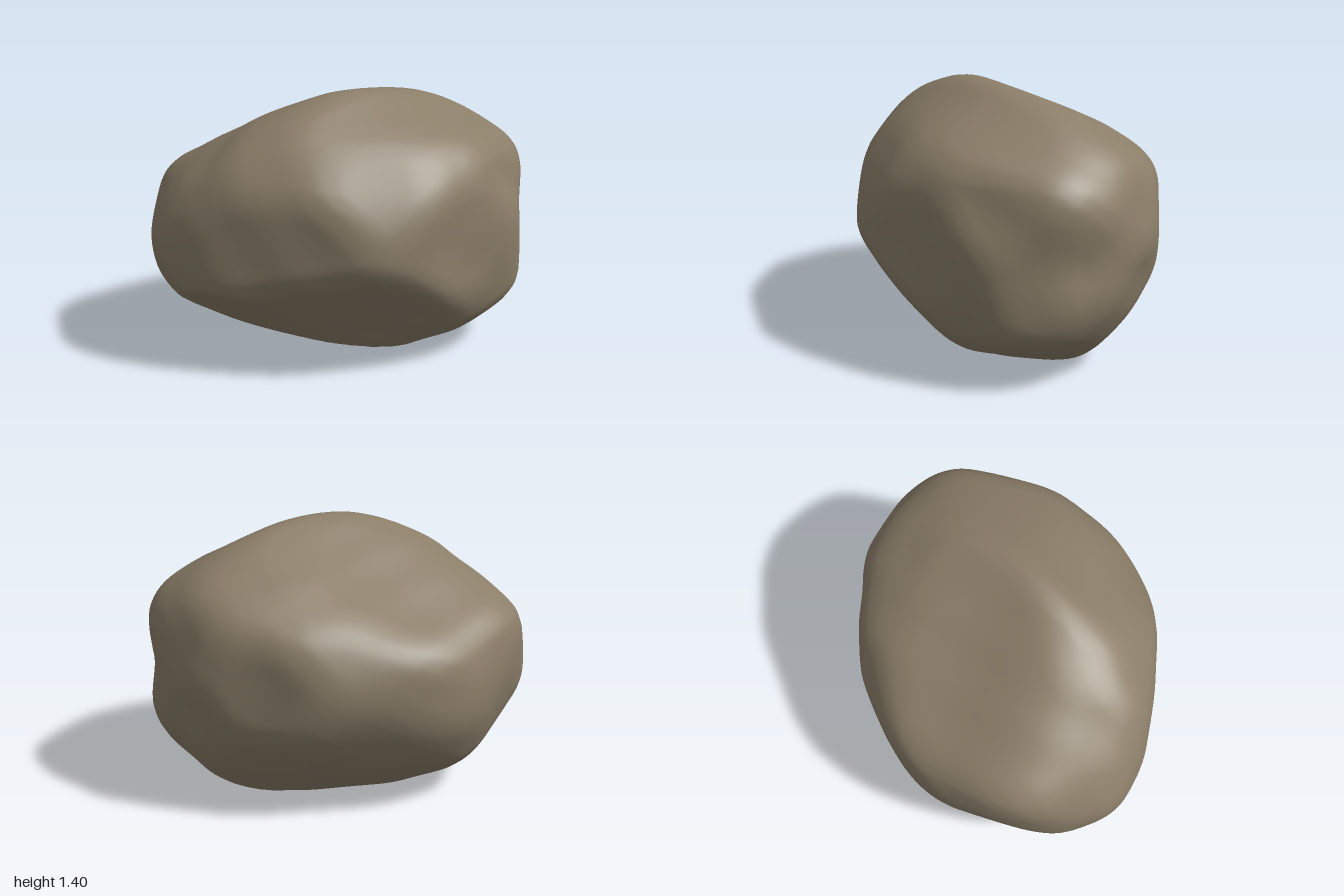
import * as THREE from 'three';
import { mergeVertices } from 'three/addons/utils/BufferGeometryUtils.js';

const V = (x, y, z) => new THREE.Vector3(x, y, z);
const CENTER = V(0, 0.71, 0);
const SIZE = V(1, 0.71, 0.8);

// Returns a function giving the distance, along a 3D vector, to an outline swept across the plane of axes a and b
function outline(points, a, b, shift = 0) {
  const knots = points.map(([p, q]) => V(p, q - shift, 0));
  const table = new THREE.CatmullRomCurve3(knots, true).getPoints(240).slice(1)
    .map((v) => [Math.atan2(v.y, v.x), v.length()]).sort((m, n) => m[0] - n[0]);
  const last = table[table.length - 1];
  const loop = [[last[0] - 2 * Math.PI, last[1]], ...table, [table[0][0] + 2 * Math.PI, table[0][1]]];
  const bins = Array.from({ length: 721 }, (_, k) => {
    const t = (k / 360 - 1) * Math.PI;
    const i = Math.max(1, loop.findIndex((e) => e[0] >= t));
    const [t0, r0] = loop[i - 1], [t1, r1] = loop[i];
    return r0 + (r1 - r0) * (t - t0) / (t1 - t0 || 1);
  });
  return (v) => {
    const p = v.dot(a), q = v.dot(b);
    const f = (Math.atan2(q, p) / Math.PI + 1) * 360, k = Math.min(719, Math.floor(f));
    return (bins[k] + (bins[k + 1] - bins[k]) * (f - k)) / (Math.hypot(p, q) + 1e-6);
  };
}

// Outlines in the three main planes
const sideXY = outline([[-1, 0.65], [-0.97, 0.78], [-0.78, 1.08], [-0.4, 1.28], [-0.15, 1.37], [0.2, 1.43], [0.4, 1.35],
  [0.65, 1.29], [0.88, 1.16], [0.98, 1], [1, 0.87], [0.97, 0.68], [0.99, 0.43], [0.9, 0.22], [0.78, 0.08], [0.63, -0.01],
  [0.1, -0.04], [-0.48, -0.01], [-0.7, 0.13], [-0.9, 0.32], [-0.98, 0.5]], V(1, 0, 0), V(0, 1, 0), CENTER.y);
const sideZY = outline([[0.13, 1.43], [0.4, 1.31], [0.65, 1.04], [0.8, 0.72], [0.77, 0.45], [0.65, 0.22], [0.5, 0.1],
  [0.35, -0.01], [0, -0.04], [-0.38, -0.01], [-0.47, 0.05], [-0.6, 0.22], [-0.72, 0.43], [-0.8, 0.67], [-0.67, 1],
  [-0.4, 1.2], [0, 1.38]], V(0, 0, 1), V(0, 1, 0), CENTER.y);
const sideXZ = outline([[-0.1, -0.8], [0.2, -0.79], [0.5, -0.65], [0.85, -0.5], [0.94, -0.3], [1, -0.05], [0.94, 0.15],
  [0.85, 0.38], [0.5, 0.6], [0.2, 0.78], [0, 0.8], [-0.3, 0.68], [-0.6, 0.53], [-0.85, 0.37], [-1, 0.15], [-1, 0],
  [-0.95, -0.2], [-0.75, -0.5], [-0.5, -0.7]], V(1, 0, 0), V(0, 0, 1));

// Outlines in three slanted planes, trimming the corners between the main ones
const D = Math.SQRT1_2, TILT = 27 * Math.PI / 180, S = D * Math.sin(TILT), C = Math.cos(TILT);
const slants = [
  outline([[-0.37, 0.6], [-0.73, 0.435], [-0.83, 0.285], [-0.9, 0.135], [-0.9, -0.015], [-0.87, -0.125], [-0.78, -0.215],
    [-0.52, -0.395], [-0.2, -0.625], [0.01, -0.785], [0.17, -0.8], [0.39, -0.775], [0.64, -0.705], [0.81, -0.495],
    [0.88, -0.275], [0.94, -0.065], [0.91, 0.175], [0.84, 0.305], [0.75, 0.385], [0.66, 0.43], [0.14, 0.52]],
  V(D, 0, -D), V(-S, C, -S)),
  outline([[-0.13, 0.71], [-0.57, 0.655], [-0.73, 0.575], [-0.83, 0.455], [-0.9, 0.225], [-0.94, 0.055], [-0.9, -0.105],
    [-0.83, -0.255], [-0.67, -0.425], [-0.41, -0.615], [-0.19, -0.715], [-0.03, -0.785], [0.1, -0.805], [0.29, -0.755],
    [0.5, -0.655], [0.76, -0.525], [0.85, -0.335], [0.9, -0.115], [0.85, 0.075], [0.74, 0.295], [0.56, 0.485],
    [0.32, 0.615], [0.1, 0.685]], V(-D, 0, D), V(S, C, S)),
  outline([[-0.25, 0.745], [-0.45, 0.725], [-0.61, 0.665], [-0.73, 0.535], [-0.79, 0.355], [-0.87, 0.135], [-0.85, -0.115],
    [-0.8, -0.275], [-0.69, -0.455], [-0.5, -0.6], [-0.39, -0.65], [0.43, -0.69], [0.54, -0.685], [0.66, -0.6], [0.8, -0.425],
    [0.87, -0.145], [0.87, 0.015], [0.79, 0.225], [0.67, 0.325], [0.3, 0.555], [-0.02, 0.685]],
  V(-D, 0, -D), V(S, C, -S)),
];

// Rounded body blended from the main outlines and kept inside all six
const ray = V(0, 0, 0);
function bodyRadius(u) {
  const { x, y, z } = u;
  ray.copy(u).multiply(SIZE);
  const a = sideXY(ray), b = sideZY(ray), c = sideXZ(ray);
  const wa = x * x * y * y + 1e-4, wb = y * y * z * z + 1e-4, wc = x * x * z * z + 1e-4;
  const sum = a * Math.hypot(x, y) * wa + b * Math.hypot(z, y) * wb + c * Math.hypot(x, z) * wc;
  return Math.min(1.04 * sum / (wa + wb + wc), a, b, c, ...slants.map((f) => f(ray)));
}

// Nearby directions averaged to wear the body smooth
const spread = Array.from({ length: 14 }, (_, i) => {
  const y = 1 - (2 * i + 1) / 14, t = i * 2.39996, s = Math.sqrt(1 - y * y);
  return V(s * Math.cos(t), y, s * Math.sin(t)).multiplyScalar(0.13);
});
const probe = V(0, 0, 0);
const wornRadius = (u) =>
  1.008 * spread.reduce((sum, o) => sum + bodyRadius(probe.copy(u).add(o).normalize()), 0) / spread.length;

const softMin = (a, b, k) => {
  const h = Math.max(k - Math.abs(a - b), 0) / k;
  return Math.min(a, b) - h * h * k * 0.25;
};

// Worn flat faces: point on the face, outward normal, softness of the rim
const facets = [
  { p: V(0.15, 1.42, 0.13), n: V(-0.12, 1, -0.45), k: 0.012 },
  { p: V(0.22, 0, 0.37), n: V(-0.34, -0.81, 0.47), k: 0.03 },
  { p: V(0, 0, 0), n: V(0, -1, 0), k: 0.004 },
].map(({ p, n, k }) => ({ normal: n.normalize(), k, d: p.sub(CENTER).dot(n) }));

// Broad hollows (negative) and bumps (positive): centre, height, width
const dents = [
  [0.15, 0.58, 0.78, -0.015, 0.18], [0.6, 0.7, 0.55, 0.012, 0.16], [0.72, 0.4, 0.45, -0.012, 0.13],
  [0.97, 0.7, -0.1, -0.012, 0.15], [0.95, 0.48, 0.05, 0.01, 0.16], [0.9, 1.05, 0, 0.01, 0.16],
];

function boulderGeometry() {
  let geo = new THREE.IcosahedronGeometry(1, 40);
  geo.deleteAttribute('normal');
  geo.deleteAttribute('uv');
  geo = mergeVertices(geo, 1e-5);
  const pos = geo.attributes.position;
  const u = V(0, 0, 0), v = V(0, 0, 0);
  for (let i = 0; i < pos.count; i++) {
    u.fromBufferAttribute(pos, i).normalize();
    let r = wornRadius(u);
    // Uneven surface
    v.copy(u).multiply(SIZE).multiplyScalar(r);
    r += 0.004 * Math.sin(13 * v.z + 6 * v.x) * Math.sin(12 * v.y + 5 * v.x);
    for (const [dx, dy, dz, h, w] of dents) {
      const d2 = (v.x - dx) ** 2 + (v.y + CENTER.y - dy) ** 2 + (v.z - dz) ** 2;
      r += h * Math.exp(-d2 / (w * w));
    }
    // Cut the flat faces
    v.copy(u).multiply(SIZE);
    for (const { normal, d, k } of facets) {
      const s = normal.dot(v);
      if (s > 0.05) r = softMin(r, d / s, k);
    }
    v.multiplyScalar(r).add(CENTER);
    pos.setXYZ(i, v.x, v.y, v.z);
  }
  geo.computeVertexNormals();
  return geo;
}

export function createModel() {
  const group = new THREE.Group();
  group.name = 'rock';
  const stone = new THREE.MeshStandardMaterial({ color: 0x8b7e69 });
  stone.name = 'brown stone';
  const boulder = new THREE.Mesh(boulderGeometry(), stone);
  boulder.name = 'boulder';
  group.add(boulder);
  return group;
}
